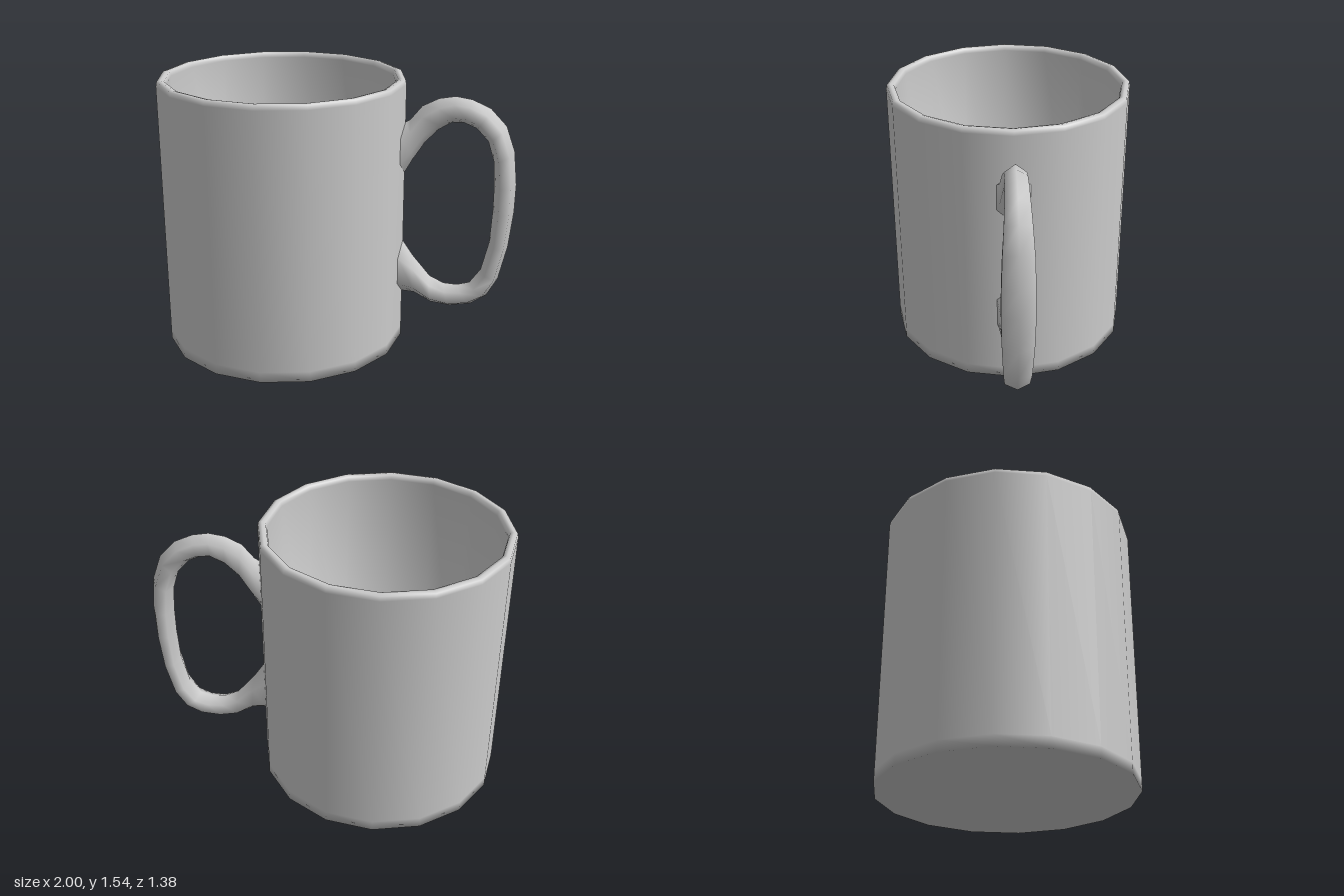
import * as THREE from 'three';

const material = new THREE.MeshStandardMaterial({ color: 0xcccccc, side: THREE.DoubleSide });

// Hollow 16-sided cup: base, outer wall, rounded rim, inner wall and floor
function createCup() {
  const profile = [
    [0, 0], [0.69, 0], [0.69, 0.06], [0.69, 1.51], [0.685, 1.535], [0.665, 1.54],
    [0.645, 1.535], [0.638, 1.51], [0.638, 0.06], [0, 0.06],
  ].map(([r, y]) => new THREE.Vector2(r, y));
  const cup = new THREE.Mesh(new THREE.LatheGeometry(profile, 16), material);
  cup.name = 'cup';
  cup.position.x = -0.31;
  return cup;
}

// Handle: six-sided sections swept from the upper joint to the lower joint
function createHandle() {
  // outer x, outer y, inner x, inner y, half width in z
  const sections = [
    [0.38, 1.30, 0.38, 1.01, 0.09],
    [0.405, 1.315, 0.425, 1.09, 0.075],
    [0.47, 1.395, 0.49, 1.19, 0.063],
    [0.56, 1.44, 0.56, 1.265, 0.058],
    [0.65, 1.455, 0.635, 1.31, 0.058],
    [0.74, 1.44, 0.70, 1.31, 0.06],
    [0.84, 1.395, 0.77, 1.28, 0.063],
    [0.93, 1.30, 0.835, 1.21, 0.07],
    [0.98, 1.16, 0.87, 1.10, 0.079],
    [1.0, 0.97, 0.88, 0.96, 0.085],
    [0.997, 0.81, 0.88, 0.81, 0.087],
    [0.975, 0.60, 0.87, 0.62, 0.083],
    [0.93, 0.40, 0.83, 0.45, 0.075],
    [0.87, 0.29, 0.77, 0.365, 0.067],
    [0.78, 0.23, 0.70, 0.345, 0.061],
    [0.66, 0.21, 0.62, 0.35, 0.058],
    [0.55, 0.225, 0.54, 0.39, 0.06],
    [0.45, 0.28, 0.44, 0.51, 0.072],
    [0.38, 0.285, 0.38, 0.60, 0.09],
  ];
  // blend from inner to outer edge, and side of the handle
  const ring = [[1, 0], [0.75, 1], [0.25, 1], [0, 0], [0.25, -1], [0.75, -1]];
  const positions = [], indices = [];
  sections.forEach(([ox, oy, ix, iy, w], i) => {
    const atWall = i === 0 || i === sections.length - 1;
    for (const [t, side] of ring) {
      // the sides of each end follow the curve of the wall
      const inset = atWall ? 0.018 * Math.abs(side) : 0;
      positions.push(ix + (ox - ix) * t - inset, iy + (oy - iy) * t, side * w);
    }
    if (i === sections.length - 1) return;
    for (let j = 0; j < 6; j++) {
      const a = i * 6 + j, b = i * 6 + (j + 1) % 6;
      indices.push(a, b, b + 6, a, b + 6, a + 6);
    }
  });
  const geometry = new THREE.BufferGeometry();
  geometry.setAttribute('position', new THREE.Float32BufferAttribute(positions, 3));
  geometry.setIndex(indices);
  geometry.computeVertexNormals();
  const handle = new THREE.Mesh(geometry, material);
  handle.name = 'handle';
  return handle;
}

export function createModel() {
  const mug = new THREE.Group();
  mug.name = 'mug';
  mug.add(createCup(), createHandle());
  return mug;
}
